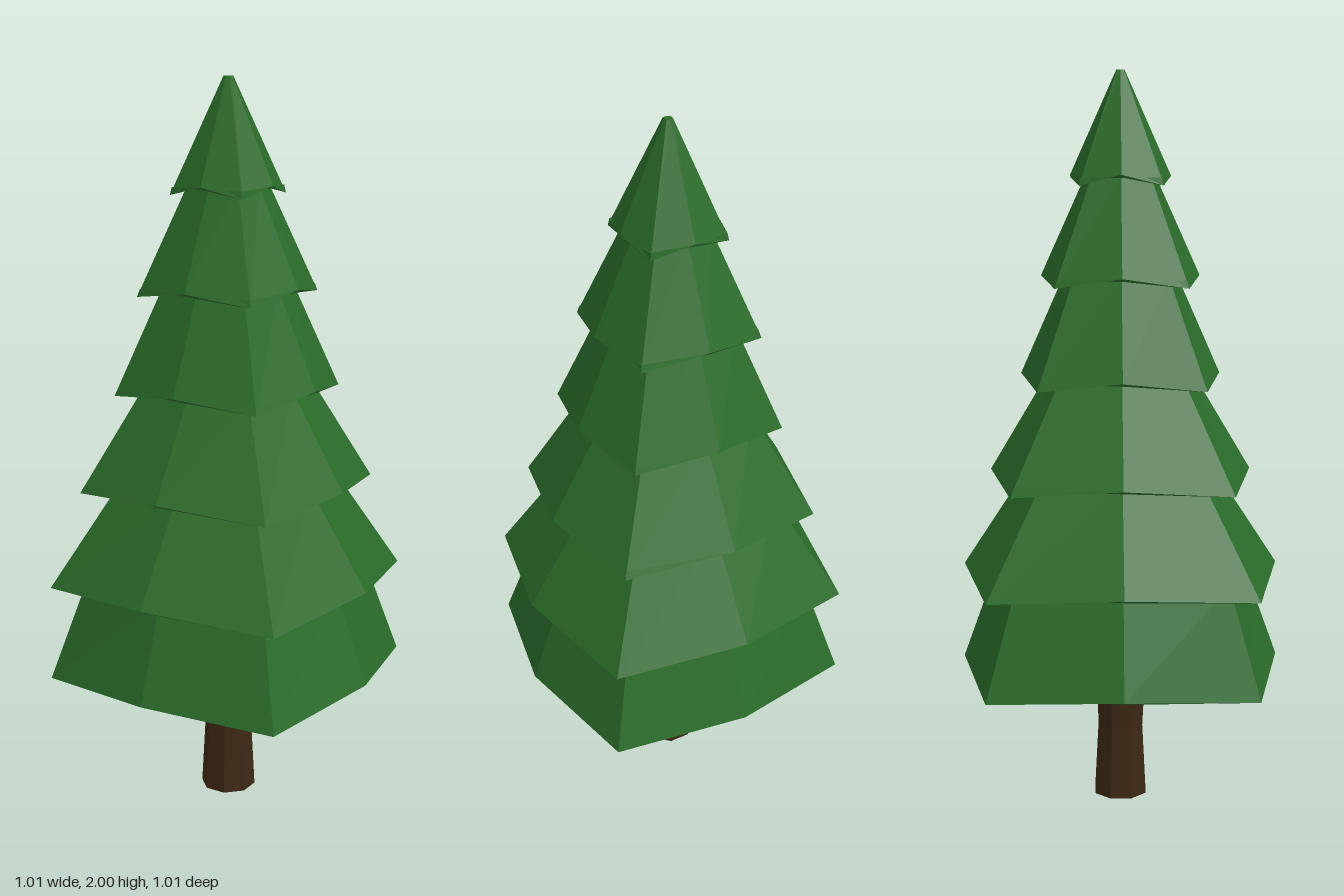
import * as THREE from 'three';

const green = new THREE.MeshStandardMaterial({ color: 0x2a6b2a, flatShading: true, side: THREE.DoubleSide });
const brown = new THREE.MeshStandardMaterial({ color: 0x3d2814, flatShading: true });

// Eight-cornered ring: axis corners reach out, diagonal corners sit in and slightly higher
function ring(radius, y, lift = 0) {
  const points = [];
  for (let i = 0; i < 8; i++) {
    const diagonal = i % 2 === 1;
    const a = (i * Math.PI) / 4;
    const r = radius * (diagonal ? 0.864 : 1);
    points.push([Math.sin(a) * r, y + (diagonal ? lift : 0), Math.cos(a) * r]);
  }
  return points;
}

// Skin a stack of rings, listed from the underside centre upwards
function loft(rings) {
  const positions = rings.flat(2);
  const index = [];
  for (let k = 0; k < rings.length - 1; k++) {
    for (let i = 0; i < 8; i++) {
      const a = k * 8 + i, b = k * 8 + ((i + 1) % 8);
      index.push(a, b, b + 8, a, b + 8, a + 8);
    }
  }
  const geometry = new THREE.BufferGeometry();
  geometry.setAttribute('position', new THREE.Float32BufferAttribute(positions, 3));
  geometry.setIndex(index);
  const flat = geometry.toNonIndexed();
  flat.computeVertexNormals();
  return flat;
}

export function createModel() {
  const tree = new THREE.Group();
  tree.name = 'pineTree';

  // Trunk, slightly waisted, with closed ends
  const trunkProfile = [[0, 0], [0.077, 0], [0.066, 0.2], [0.076, 0.38], [0.076, 0.42], [0, 0.42]]
    .map(([r, y]) => new THREE.Vector2(r, y));
  const trunk = new THREE.Mesh(new THREE.LatheGeometry(trunkProfile, 8, Math.PI / 8), brown);
  trunk.name = 'trunk';
  tree.add(trunk);

  // Foliage tiers: [rim radius, top radius]
  const tiers = [[0.505, 0.395], [0.5, 0.3], [0.412, 0.23], [0.313, 0.178], [0.248, 0.11], [0.157, 0.013]];
  const foliage = new THREE.Group();
  foliage.name = 'foliage';
  tiers.forEach(([rim, top], i) => {
    const y = 0.372 + i * 0.265;
    const topY = i === tiers.length - 1 ? 2 : y + 0.29;
    const mesh = new THREE.Mesh(loft([
      ring(0, y + 0.02),
      ring(rim * 0.97, y + 0.02),
      ring(rim, y, 0.027),
      ring(top, topY),
      ring(0, topY),
    ]), green);
    mesh.name = `foliageTier${i + 1}`;
    foliage.add(mesh);
  });
  tree.add(foliage);

  return tree;
}
